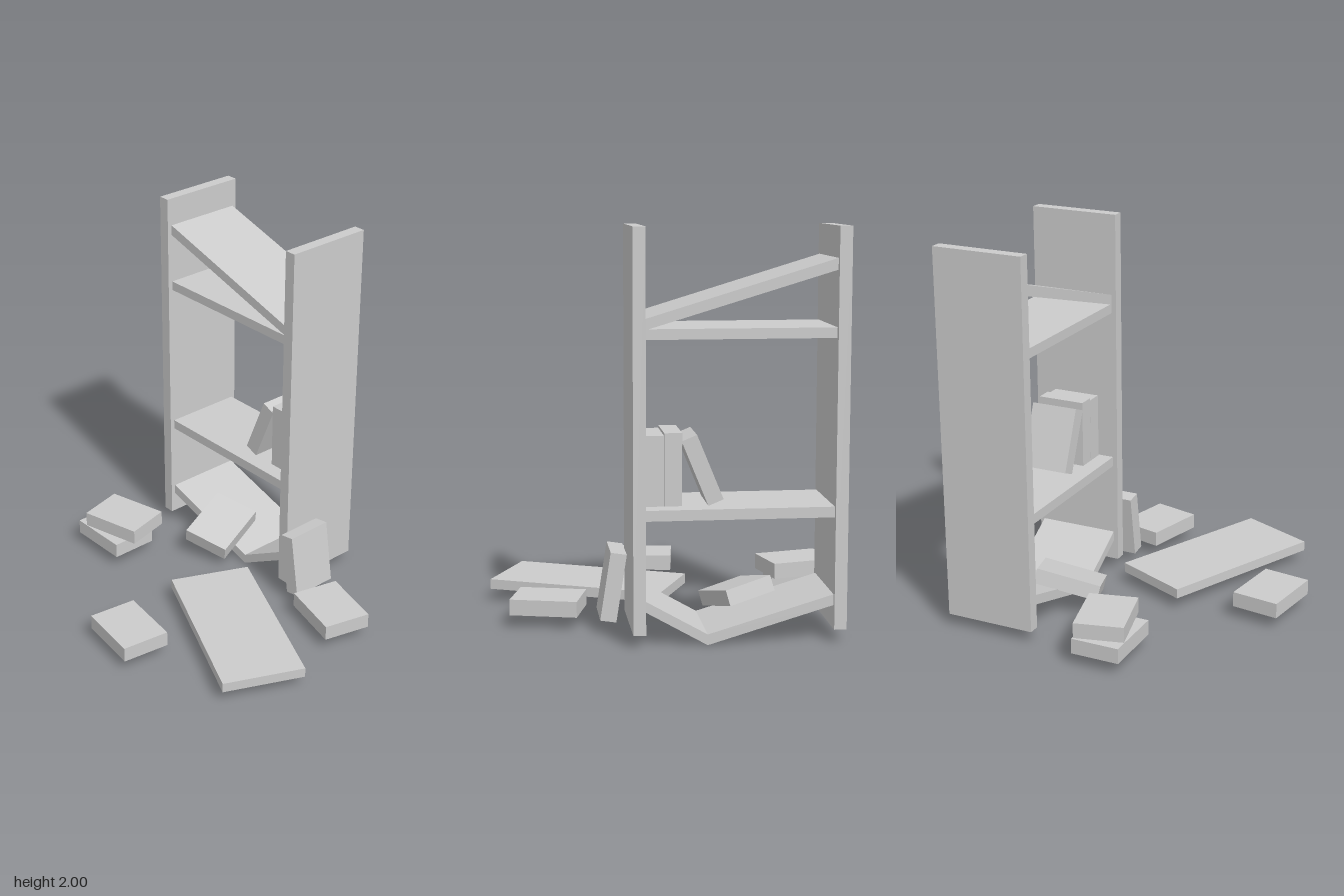
import * as THREE from 'three';

const solid = new THREE.MeshStandardMaterial({ color: 0xcccccc, flatShading: true });
const open = new THREE.MeshStandardMaterial({ color: 0xcccccc, flatShading: true, side: THREE.DoubleSide });

const BACK = -0.77, FRONT = -0.337; // depth range of the shelves
const BOOK = { height: 0.34, width: 0.255, thick: 0.08 };

// Box without its underside
function openBox(w, h, d) {
  const geo = new THREE.BoxGeometry(w, h, d);
  const index = Array.from(geo.index.array);
  index.splice(18, 6);
  geo.setIndex(index);
  geo.clearGroups();
  return geo;
}

export function createModel() {
  const model = new THREE.Group();
  model.name = 'brokenBookcase';

  const add = (name, geo, mat, pos = [0, 0, 0], rot = [0, 0, 0]) => {
    const mesh = new THREE.Mesh(geo, mat);
    mesh.name = name;
    mesh.position.set(...pos);
    mesh.rotation.set(...rot);
    model.add(mesh);
    return mesh;
  };

  // Side panels
  for (const [name, x] of [['rightPanel', -0.766], ['leftPanel', 0.204]]) {
    add(name, openBox(0.061, 1.932, 0.481), open, [x, 1.034, -0.5525]);
  }

  // Shelves, each a front outline pulled through the depth of the case
  const L = -0.735, R = 0.174;
  const shelves = {
    fallenShelf: [[L, 1.795], [R, 1.52], [R, 1.573], [L, 1.85]],
    upperShelf: [[L, 1.475], [R, 1.475], [R, 1.525], [L, 1.525]],
    middleShelf: [[L, 0.615], [R, 0.615], [R, 0.667], [L, 0.667]],
    snappedShelf: [[L, 0.184], [-0.125, 0.005], [R, 0.175], [R, 0.228], [-0.125, 0.058], [L, 0.237]],
  };
  for (const [name, outline] of Object.entries(shelves)) {
    const shape = new THREE.Shape(outline.map(([x, y]) => new THREE.Vector2(x, y)));
    const geo = new THREE.ExtrudeGeometry(shape, { depth: FRONT - BACK, bevelEnabled: false });
    add(name, geo, solid, [0, 0, BACK]);
  }

  // Loose plank lying in front
  add('loosePlank', openBox(0.942, 0.052, 0.432), open, [0.382, 0.095, 0.186], [0, -0.423, 0]);

  // Books lying flat on the floor: x, y, z, turn
  const flat = openBox(BOOK.height, BOOK.thick, BOOK.width);
  [
    [0.615, 0.109, -0.276, -0.253],
    [0.059, 0.109, 0.638, -0.136],
    [-0.737, 0.109, 0.103, 0],
    [-0.704, 0.191, 0.065, 0.243],
  ].forEach(([x, y, z, turn]) => add('flatBook', flat, open, [x, y, z], [0, turn, 0]));

  // Upright books: x, y, z, lean, thickness, height
  [
    [0.031, 0.844, -0.548, 0, 0.086, 0.354],
    [0.12, 0.838, -0.548, 0, 0.09, 0.342],
    [-0.111, 0.838, -0.548, -0.39, 0.08, 0.34],
    [0.306, 0.236, -0.393, 0.155, 0.08, 0.343],
  ].forEach(([x, y, z, lean, t, h]) =>
    add('uprightBook', openBox(t, h, BOOK.width), open, [x, y, z], [0, 0, lean]));

  // Book sliding off the snapped shelf
  const across = new THREE.Vector3(0.236, -0.052, -0.083).normalize();
  const normal = new THREE.Vector3(0.0229, 0.0826, 0.0134).normalize();
  const along = new THREE.Vector3().crossVectors(across, normal).normalize();
  const sliding = add('slidingBook', new THREE.BoxGeometry(BOOK.width, BOOK.thick, BOOK.height),
    solid, [-0.329, 0.157, -0.336]);
  sliding.quaternion.setFromRotationMatrix(new THREE.Matrix4().makeBasis(across, normal, along));

  return model;
}
